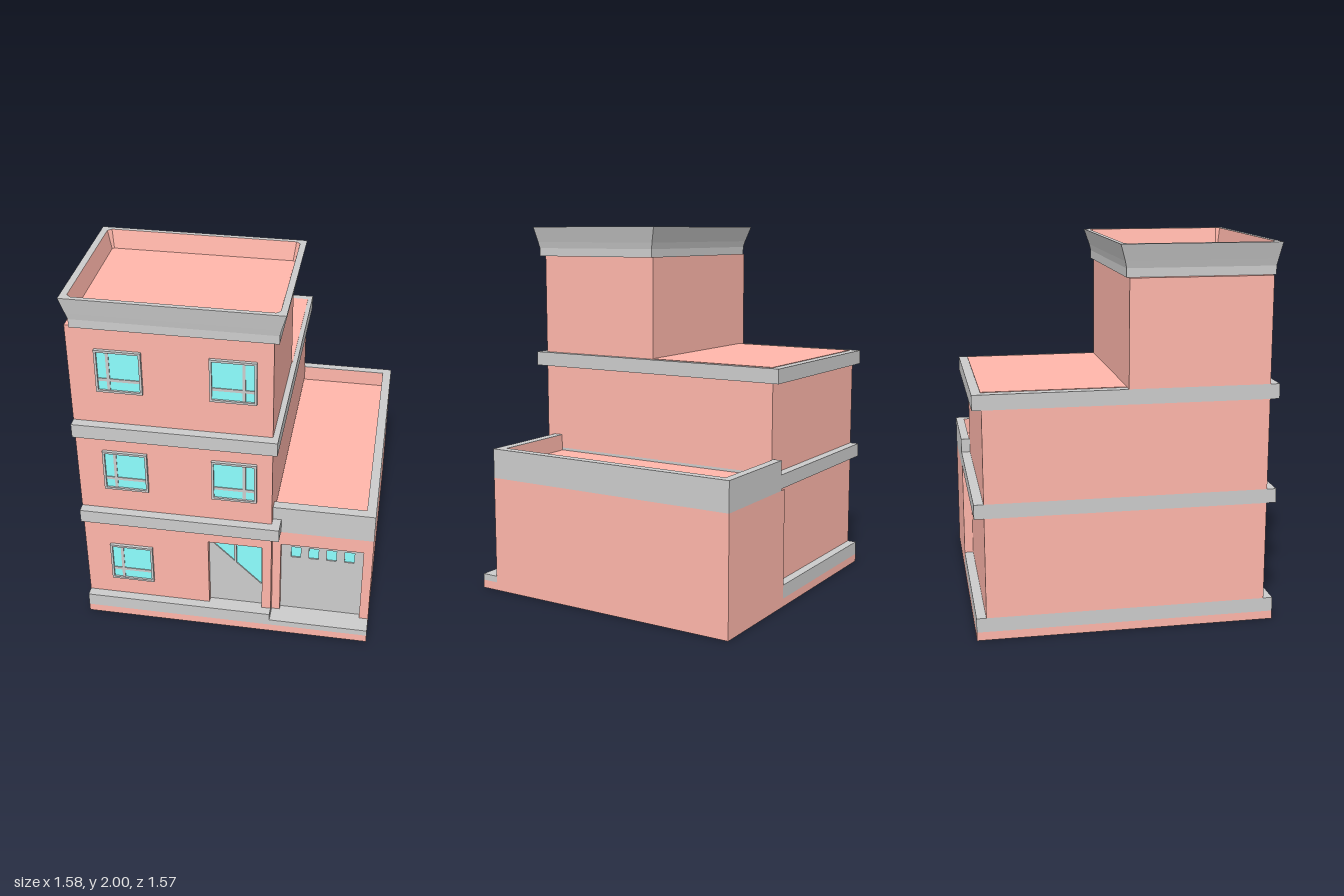
import * as THREE from 'three';

const mat = (color) => new THREE.MeshStandardMaterial({ color, flatShading: true });
const grey = mat(0xcccccc), wall = mat(0xffb6aa), glass = mat(0x8dffff);

export function createModel() {
  const root = new THREE.Group();

  const add = (parent, name, geometry, material) => {
    const mesh = new THREE.Mesh(geometry, material);
    mesh.name = name;
    parent.add(mesh);
    return mesh;
  };
  // Box given by its limits on each axis
  const box = (name, material, [x0, x1], [y0, y1], [z0, z1], parent = root) => {
    const g = new THREE.BoxGeometry(x1 - x0, y1 - y0, z1 - z0);
    g.translate((x0 + x1) / 2, (y0 + y1) / 2, (z0 + z1) / 2);
    return add(parent, name, g, material);
  };
  const points = (list) => list.map(([x, y]) => new THREE.Vector2(x, y));
  const rect = (x0, x1, y0, y1) => [[x0, y0], [x1, y0], [x1, y1], [x0, y1]];
  // Upright panel with openings, from z0 to z1
  const panel = (name, material, outline, holes, z0, z1, parent = root) => {
    const shape = new THREE.Shape(points(outline));
    holes.forEach((h) => shape.holes.push(new THREE.Path(points(h))));
    const g = new THREE.ExtrudeGeometry(shape, { depth: z1 - z0, bevelEnabled: false });
    g.translate(0, 0, z0);
    return add(parent, name, g, material);
  };
  // Wall outline with a doorway that reaches its lower edge
  const doorway = (x0, x1, y0, y1, a, b, top) =>
    [[x0, y0], [a, y0], [a, top], [b, top], [b, y0], [x1, y0], [x1, y1], [x0, y1]];
  // Skin between rectangular loops [x0, x1, z0, z1, y, corner cut]
  const loft = (name, material, loops) => {
    const rings = loops.map(([x0, x1, z0, z1, y, c = 0]) => [
      [x0 + c, y, z1], [x1 - c, y, z1], [x1, y, z1 - c], [x1, y, z0 + c],
      [x1 - c, y, z0], [x0 + c, y, z0], [x0, y, z0 + c], [x0, y, z1 - c]]);
    const pos = [];
    for (let r = 0; r + 1 < rings.length; r++) {
      for (let i = 0; i < 8; i++) {
        const j = (i + 1) % 8, a = rings[r], b = rings[r + 1];
        for (const p of [a[i], a[j], b[j], a[i], b[j], b[i]]) pos.push(...p);
      }
    }
    const g = new THREE.BufferGeometry();
    g.setAttribute('position', new THREE.Float32BufferAttribute(pos, 3));
    g.computeVertexNormals();
    return add(root, name, g, material);
  };

  // Base and plinths
  box('base', wall, [-0.785, 0.785], [0, 0.045], [-0.785, 0.785]);
  box('towerPlinth', grey, [-0.785, 0.19], [0.045, 0.12], [-0.785, 0.785]);
  box('towerPlinthEnd', grey, [0.19, 0.245], [0.045, 0.12], [0.69, 0.785]);
  box('garageStep', grey, [0.245, 0.785], [0.045, 0.08], [0.69, 0.785]);
  box('garageSill', grey, [0.29, 0.735], [0.045, 0.08], [0.65, 0.69]);

  // Tower floors, with the entrance cut into the ground floor front
  box('groundFloor', wall, [-0.785, 0.245], [0.12, 0.65], [-0.735, 0.69]);
  panel('groundFloorFront', wall, doorway(-0.785, 0.245, 0.12, 0.65, -0.1, 0.195, 0.555), [], 0.69, 0.735);
  box('lowerBand', grey, [-0.785, 0.23], [0.65, 0.725], [-0.785, 0.785]);
  box('lowerBandEnd', grey, [0.23, 0.29], [0.65, 0.725], [0.69, 0.785]);
  box('middleFloor', wall, [-0.785, 0.245], [0.725, 1.205], [-0.735, 0.735]);
  box('upperBand', grey, [-0.785, 0.275], [1.205, 1.283], [-0.782, 0.785]);
  box('terraceRoof', wall, [-0.735, 0.25], [1.27, 1.286], [-0.735, 0.01]);
  box('topFloor', wall, [-0.785, 0.245], [1.283, 1.835], [0, 0.735]);

  // Flared cornice with a sunken roof
  loft('cornice', grey, [
    [-0.7, 0.2, 0.05, 0.7, 1.835],
    [-0.755, 0.272, -0.01, 0.755, 1.835],
    [-0.755, 0.272, -0.01, 0.755, 1.88],
    [-0.765, 0.28, -0.018, 0.761, 1.915],
    [-0.79, 0.305, -0.045, 0.775, 2],
    [-0.755, 0.272, -0.02, 0.75, 2, 0.02],
  ]);
  loft('corniceLining', wall, [
    [-0.755, 0.272, -0.02, 0.75, 2, 0.02],
    [-0.733, 0.248, 0, 0.735, 1.9, 0.01],
  ]);
  box('towerRoof', wall, [-0.735, 0.25], [1.84, 1.9], [0, 0.737]);

  // Garage wing with a parapet around its roof
  box('garageBody', wall, [0.19, 0.785], [0.045, 0.64], [-0.785, 0.65]);
  panel('garageFront', wall, doorway(0.245, 0.785, 0.045, 0.64, 0.29, 0.735, 0.555), [], 0.65, 0.69);
  const parapet = panel('garageParapet', grey, rect(0.23, 0.785, -0.69, 0.785),
    [rect(0.242, 0.735, -0.638, 0.738)], 0.64, 0.802);
  parapet.rotation.x = -Math.PI / 2;
  loft('parapetLining', wall, [
    [0.24, 0.734, -0.737, 0.637, 0.8],
    [0.24, 0.734, -0.737, 0.637, 0.7],
  ]);
  box('garageRoof', wall, [0.235, 0.74], [0.64, 0.71], [-0.74, 0.64]);

  // Entrance door with slanted glazing
  const door = new THREE.Group();
  door.name = 'entranceDoor';
  root.add(door);
  panel('doorLeaf', grey, rect(-0.1, 0.195, 0.12, 0.555), [
    [[-0.085, 0.535], [0.037, 0.415], [0.037, 0.535]],
    [[0.05, 0.402], [0.188, 0.265], [0.188, 0.535], [0.05, 0.535]],
  ], 0.69, 0.702, door);
  box('doorGlass', glass, [-0.09, 0.19], [0.26, 0.54], [0.685, 0.695], door);

  // Garage door with a row of four small panes
  const garageDoor = new THREE.Group();
  garageDoor.name = 'garageDoor';
  root.add(garageDoor);
  const paneHoles = [0, 1, 2, 3].map((i) => rect(0.344 + i * 0.097, 0.396 + i * 0.097, 0.45, 0.52));
  panel('garageDoorLeaf', grey, rect(0.29, 0.735, 0.08, 0.555), paneHoles, 0.65, 0.662, garageDoor);
  box('garageDoorGlass', glass, [0.32, 0.71], [0.44, 0.53], [0.645, 0.655], garageDoor);

  // Windows: frame, glass and off-centre bars, mirrored on the right
  const windowAt = (x, y, side) => {
    const w = new THREE.Group();
    w.name = 'window';
    w.position.set(x, y, 0.735);
    root.add(w);
    panel('windowFrame', grey, rect(-0.118, 0.118, -0.12, 0.12), [rect(-0.106, 0.106, -0.108, 0.108)], 0, 0.017, w);
    box('windowGlass', glass, [-0.108, 0.108], [-0.11, 0.11], [-0.005, 0.006], w);
    const bx = side * 0.053;
    box('verticalBar', grey, [bx - 0.008, bx + 0.008], [-0.108, 0.108], [0, 0.01], w);
    box('horizontalBar', grey, [-0.106, 0.106], [-0.058, -0.042], [0, 0.01], w);
  };
  for (const y of [0.355, 0.985, 1.595]) windowAt(-0.527, y, -1);
  for (const y of [0.985, 1.595]) windowAt(0.047, y, 1);

  return root;
}
